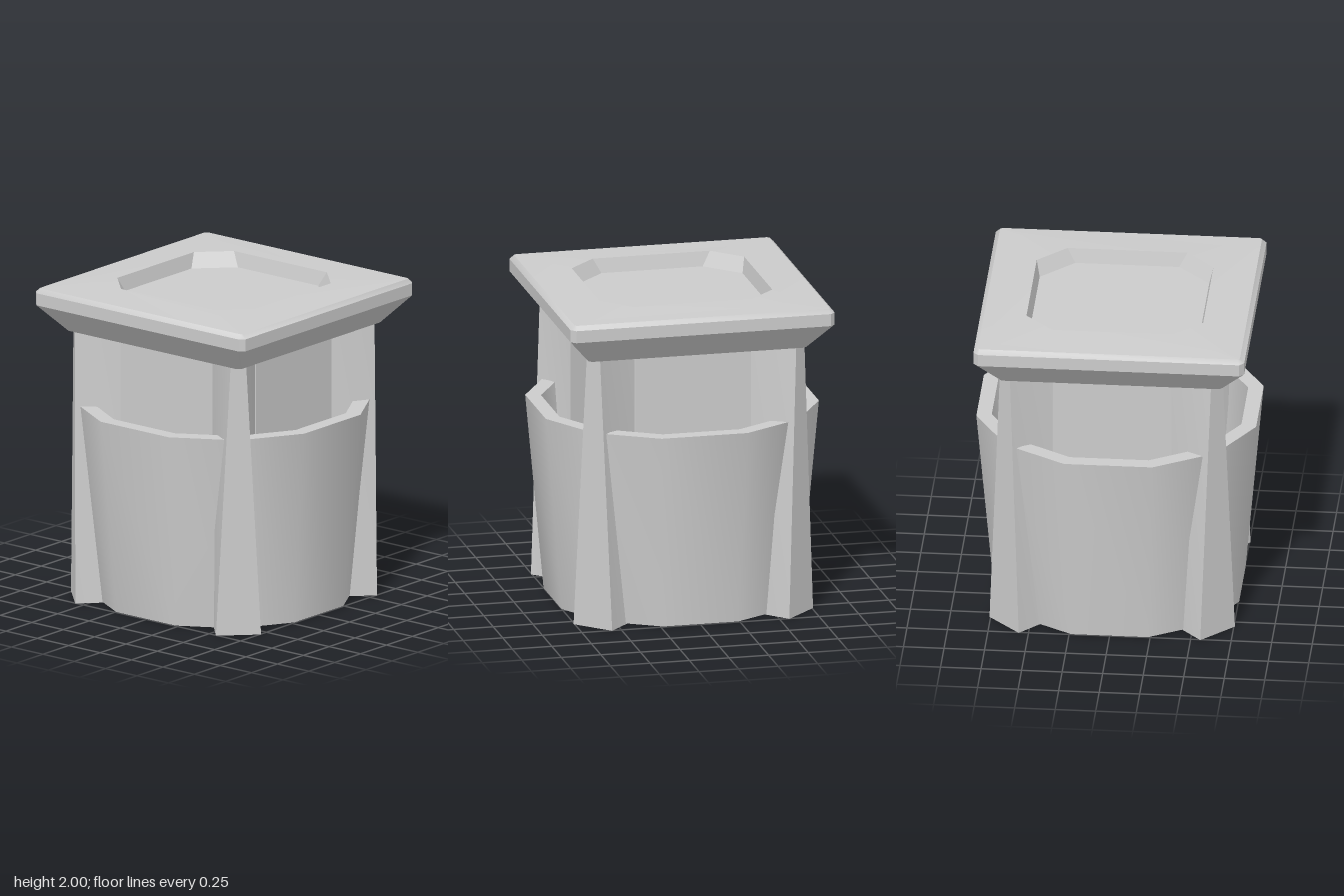
import * as THREE from 'three';
import { toCreasedNormals } from 'three/addons/utils/BufferGeometryUtils.js';

const material = new THREE.MeshStandardMaterial({ color: 0xcccccc });

// Skin a stack of cross-sections; each loop is a list of [x, z] running from +x towards +z.
function loft(name, levels, closeEnds = true) {
  const positions = [];
  const tri = (...points) => points.forEach((p) => positions.push(...p));
  const rings = levels.map(({ y, loop }) => loop.map(([x, z]) => [x, y, z]));
  const n = rings[0].length;
  for (let k = 0; k < rings.length - 1; k++) {
    const low = rings[k], high = rings[k + 1];
    for (let i = 0; i < n; i++) {
      const j = (i + 1) % n;
      tri(low[i], high[i], high[j]);
      tri(low[i], high[j], low[j]);
    }
  }
  if (closeEnds) {
    const first = rings[0], last = rings[rings.length - 1];
    for (let i = 1; i < n - 1; i++) {
      tri(first[0], first[i], first[i + 1]);
      tri(last[0], last[i + 1], last[i]);
    }
  }
  const geometry = new THREE.BufferGeometry();
  geometry.setAttribute('position', new THREE.Float32BufferAttribute(positions, 3));
  const mesh = new THREE.Mesh(toCreasedNormals(geometry, 0.6), material);
  mesh.name = name;
  return mesh;
}

// Repeat the points of one corner around all four corners.
function fourfold(corner) {
  const loop = [];
  let points = corner;
  for (let q = 0; q < 4; q++) {
    loop.push(...points);
    points = points.map(([x, z]) => [-z, x]);
  }
  return loop;
}

// Square of half width a, with its corners cut where the sides reach b.
const cutSquare = (y, a, b) => ({ y, loop: fourfold([[a, b], [b, a]]) });

// Twelve-sided section: flat sides at distance a, half flat width b, corner at (c, c).
const twelveSided = (y, a, b, c) => ({ y, loop: fourfold([[a, b], [c, c], [b, a]]) });

export function createModel() {
  const model = new THREE.Group();
  model.name = 'planterBin';

  // Octagonal core
  model.add(loft('core', [cutSquare(0.01, 0.555, 0.365), cutSquare(1.75, 0.555, 0.365)]));

  // Flared shell around the core, open above and below
  const outerBottom = twelveSided(0.005, 0.755, 0.237, 0.565);
  model.add(loft('shell', [
    outerBottom,
    twelveSided(1.24, 0.863, 0.272, 0.645),
    twelveSided(1.24, 0.77, 0.243, 0.575),
    twelveSided(0.005, 0.66, 0.207, 0.495),
    outerBottom,
  ], false));

  // Tapered wedge legs on the four corners
  const legs = new THREE.Group();
  legs.name = 'legs';
  for (let q = 0; q < 4; q++) {
    const leg = loft('leg', [
      { y: 0, loop: [[0.757, 0.56], [0.56, 0.757], [0.36, 0.547], [0.547, 0.36]] },
      { y: 1.72, loop: [[0.688, 0.62], [0.62, 0.688], [0.36, 0.547], [0.547, 0.36]] },
    ]);
    leg.rotation.y = (q * Math.PI) / 2;
    legs.add(leg);
  }
  model.add(legs);

  // Flared cap with bevelled rim and an octagonal recess in its top
  model.add(loft('cap', [
    cutSquare(1.71, 0.69, 0.67),
    cutSquare(1.88, 0.835, 0.805),
    cutSquare(1.957, 0.835, 0.805),
    cutSquare(1.983, 0.808, 0.795),
    cutSquare(2.0, 0.545, 0.37),
    cutSquare(1.91, 0.523, 0.32),
  ]));

  return model;
}
